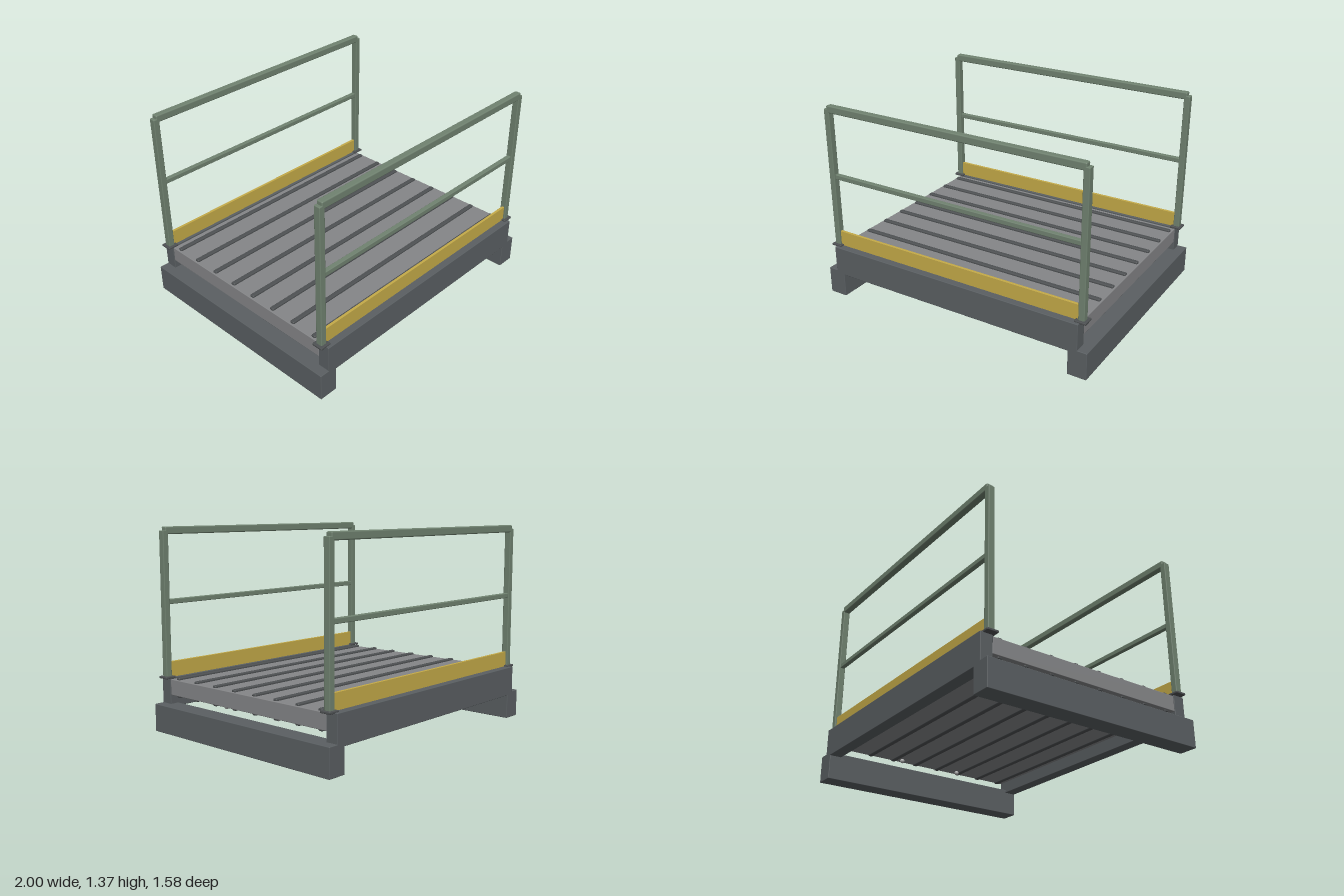
import * as THREE from 'three';
import { RoundedBoxGeometry } from 'three/addons/geometries/RoundedBoxGeometry.js';

const mat = (color) => new THREE.MeshStandardMaterial({ color });

export function createModel() {
  const model = new THREE.Group();
  model.name = 'railedPlatform';

  const frame = mat(0x5a5f62);
  const deck = mat(0x858688);
  const rib = mat(0x4e5153);
  const green = mat(0x708270);
  const yellow = mat(0xc4aa48);
  const pin = mat(0xaaaaaa);

  // Box with slightly eased edges, given by its limits on each axis
  function block(name, material, [x0, x1], [y0, y1], [z0, z1], bevel = 0.004, parent = model) {
    const geometry = new RoundedBoxGeometry(x1 - x0, y1 - y0, z1 - z0, 2, bevel);
    const mesh = new THREE.Mesh(geometry, material);
    mesh.name = name;
    mesh.position.set((x0 + x1) / 2, (y0 + y1) / 2, (z0 + z1) / 2);
    parent.add(mesh);
    return mesh;
  }
  const around = (centre, size) => [centre - size / 2, centre + size / 2];

  // Deck slab between the side beams
  block('deckSlab', deck, [-0.93, 0.93], [0.248, 0.355], [-0.705, 0.705]);

  // Tread ribs, standing proud of the slab above and below
  for (let i = 0; i < 8; i++) {
    const z = (i - 3.5) * 0.1843;
    block('treadRib', rib, [-0.918, 0.918], [0.235, 0.369], around(z, 0.032), 0.008);
  }

  for (const s of [1, -1]) {
    // Cross sill under each end
    block(s > 0 ? 'leftSill' : 'rightSill', frame, around(s * 0.935, 0.13), [0, 0.187], [-0.79, 0.79]);

    // Small locating pins beside the sill
    for (const z of [-0.235, 0.235]) {
      const ball = new THREE.Mesh(new THREE.SphereGeometry(0.016, 16, 12), pin);
      ball.name = 'locatingPin';
      ball.position.set(s * 0.85, 0.228, z);
      model.add(ball);
    }

    // Side beam
    block(s > 0 ? 'frontBeam' : 'backBeam', frame, [-0.933, 0.933], [0.165, 0.365], around(s * 0.7475, 0.085));

    // Railing along the beam
    const railing = new THREE.Group();
    railing.name = s > 0 ? 'frontRailing' : 'backRailing';
    model.add(railing);
    const z = s * 0.732;
    for (const side of [1, -1]) {
      const x = side * 0.935;
      block('basePlate', rib, around(x, 0.078), [0.36, 0.375], around(z, 0.078), 0.004, railing);
      block('post', green, around(x, 0.042), [0.37, 1.34], around(z, 0.045), 0.005, railing);
    }
    block('topRail', green, [-0.935, 0.935], [1.315, 1.365], around(z, 0.045), 0.008, railing);
    block('middleRail', green, [-0.915, 0.915], [0.855, 0.888], around(z, 0.032), 0.005, railing);
    block('toeBoard', yellow, [-0.915, 0.915], [0.362, 0.47], around(z, 0.018), 0.002, railing);
  }
  return model;
}
